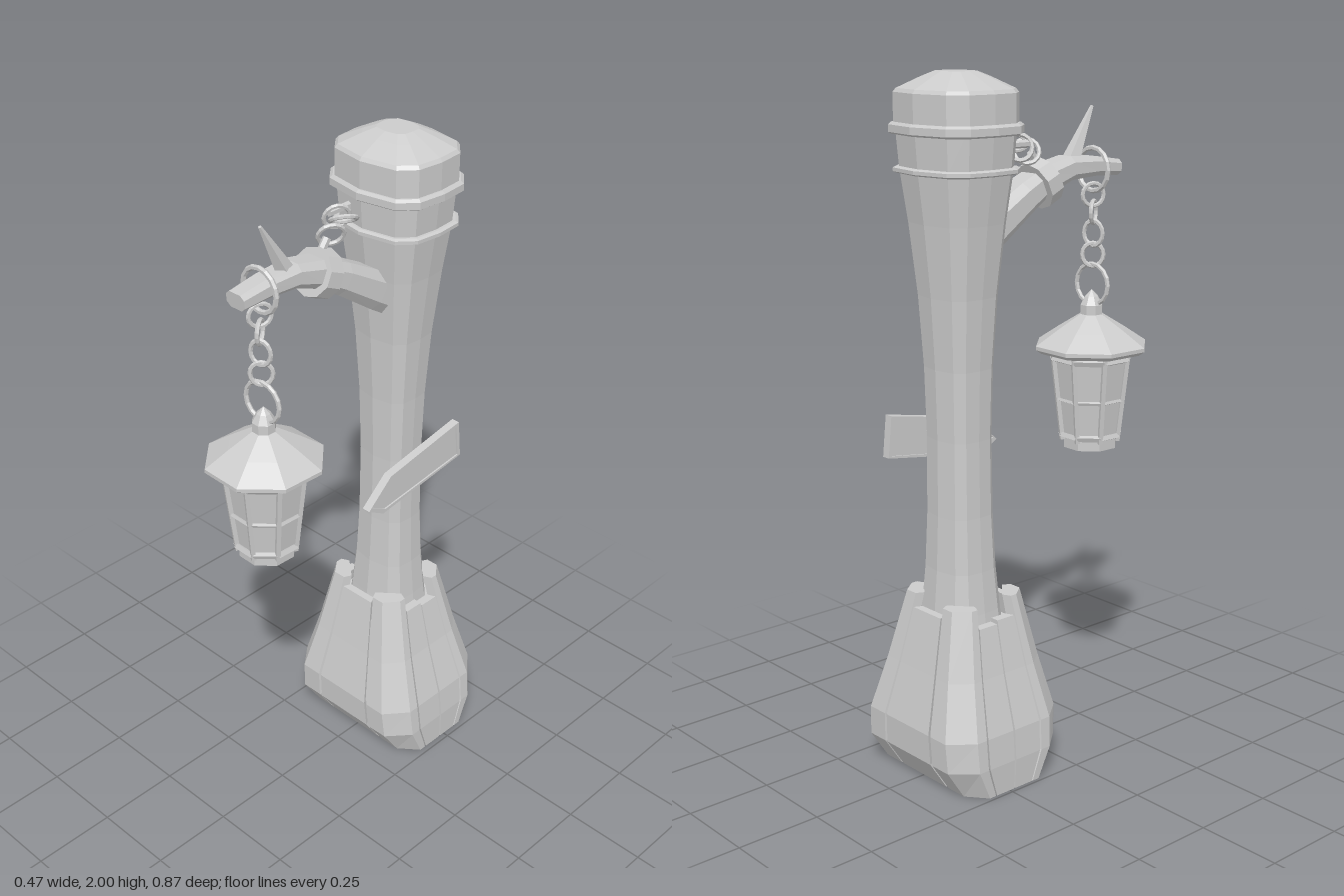
import * as THREE from 'three';

const material = new THREE.MeshStandardMaterial({ color: 0xcccccc, flatShading: true });
const V = (x, y, z) => new THREE.Vector3(x, y, z);
const CX = -0.015, CZ = -0.24; // post axis

function add(parent, name, geometry) {
  const mesh = new THREE.Mesh(geometry, material);
  mesh.name = name;
  parent.add(mesh);
  return mesh;
}

// Skin a list of convex rings (counter-clockwise about the travel direction) and cap both ends
function loft(rings) {
  const n = rings[0].length, index = [];
  for (let i = 0; i < rings.length - 1; i++) {
    for (let j = 0; j < n; j++) {
      const a = i * n + j, b = i * n + (j + 1) % n;
      index.push(a, b, b + n, a, b + n, a + n);
    }
  }
  const top = (rings.length - 1) * n;
  for (let j = 1; j < n - 1; j++) index.push(0, j + 1, j, top, top + j, top + j + 1);
  const g = new THREE.BufferGeometry().setFromPoints(rings.flat());
  g.setIndex(index);
  const flat = g.toNonIndexed();
  flat.computeVertexNormals();
  return flat;
}

// Four-fold section from one quadrant's points
const mirrorSection = (q) => [
  ...q,
  ...q.slice().reverse().map(([a, b]) => [-a, b]),
  ...q.map(([a, b]) => [-a, -b]),
  ...q.slice().reverse().map(([a, b]) => [a, -b]),
].filter(([a, b], i, s) => i === 0 || Math.hypot(a - s[i - 1][0], b - s[i - 1][1]) > 1e-6)
  .filter(([a, b], i, s) => i < s.length - 1 || Math.hypot(a - s[0][0], b - s[0][1]) > 1e-6);

const POST = mirrorSection([[1, 0], [0.95, 0.55], [0.7, 0.86], [0, 1]]);
const BASE = mirrorSection([[1, 0.66], [0.75, 1]]);

const levelRing = (section, y, hx, hz, cx = CX, cz = CZ) =>
  section.map(([a, b]) => V(cx + a * hx, y, cz - b * hz));
const postLoft = (levels) => loft(levels.map(([y, h]) => levelRing(POST, y, h, h * 0.91)));

// Straight tapered rod between two points
function rod(parent, name, a, b, ra, rb = ra, sides = 6) {
  const m = add(parent, name, new THREE.CylinderGeometry(rb, ra, a.distanceTo(b), sides));
  m.position.copy(a).lerp(b, 0.5);
  m.quaternion.setFromUnitVectors(V(0, 1, 0), b.clone().sub(a).normalize());
  return m;
}

function link(parent, name, [x, y, z], r, rotX, rotY, stretch = 1, tube = 0.0065) {
  const m = add(parent, name, new THREE.TorusGeometry(r, tube, 6, 16));
  m.position.set(x, y, z);
  m.rotation.set(rotX, rotY, 0);
  m.scale.y = stretch;
  return m;
}

// Half-widths of the flared base by height
const FLARE = [[0, 0.235, 0.14], [0.09, 0.237, 0.2], [0.18, 0.229, 0.205], [0.34, 0.183, 0.168], [0.55, 0.134, 0.124]];
function flareAt(y) {
  const i = Math.max(1, FLARE.findIndex((f) => f[0] >= y));
  const [a, b] = [FLARE[i - 1], FLARE[i]];
  const t = (y - a[0]) / (b[0] - a[0]);
  return [y, a[1] + (b[1] - a[1]) * t, a[2] + (b[2] - a[2]) * t];
}
const flareRing = (section, [y, hx, hz], k = 1) =>
  levelRing(section, y, hx * k, hz * k, -0.003 - 0.026 * y, -0.232);

function buildPost(root) {
  const post = new THREE.Group();
  post.name = 'post';
  root.add(post);
  add(post, 'column', postLoft([[0.3, 0.13], [0.5, 0.106], [0.62, 0.095], [0.78, 0.088], [1.0, 0.086],
    [1.2, 0.091], [1.4, 0.104], [1.6, 0.126], [1.74, 0.146], [1.86, 0.156]]));
  add(post, 'upperBand', postLoft([[1.835, 0.165], [1.84, 0.173], [1.86, 0.173], [1.867, 0.165]]));
  add(post, 'lowerBand', postLoft([[1.732, 0.155], [1.736, 0.163], [1.746, 0.163], [1.75, 0.155]]));
  add(post, 'cap', postLoft([[1.85, 0.16], [1.945, 0.16], [1.955, 0.152], [1.985, 0.09], [2.0, 0.054]]));

  // Base core, seen in the gaps between planks
  add(post, 'baseCore', loft([...FLARE.slice(0, 4), flareAt(0.45)].map((f, i) => {
    const ring = flareRing(BASE, f, 0.94);
    if (i === 0) ring.forEach((p) => { p.y = 0.006; });
    return ring;
  })));

  // Planks: outer edge points of each, in outline coordinates, with their top heights
  const planks = [[[[0.42, -1], [-0.42, -1]].reverse(), 0.515], [[[0.42, 1], [-0.42, 1]], 0.505]];
  for (const s of [1, -1]) {
    for (const t of [1, -1]) {
      const corner = [[1, 0.5], [1, 0.66], [0.75, 1], [0.46, 1]].map(([a, b]) => [a * s, b * t]);
      const side = [[1, 0.015], [1, 0.47]].map(([a, b]) => [a * s, b * t]);
      planks.push([s * t > 0 ? corner : corner.reverse(), s * t > 0 ? 0.545 : 0.535]);
      planks.push([s * t > 0 ? side : side.reverse(), t > 0 ? 0.48 : 0.49]);
    }
  }
  for (const [outer, top] of planks) {
    const inner = [outer[outer.length - 1], outer[0]].map(([a, b]) => [a * 0.82, b * 0.82]);
    const levels = [...FLARE.slice(0, 4), flareAt(top)];
    add(post, 'basePlank', loft(levels.map((f) => flareRing([...outer, ...inner], f))));
  }
}

function buildArm(root) {
  const arm = new THREE.Group();
  arm.name = 'arm';
  root.add(arm);
  // Bent branch: z, y, half width, half thickness
  const path = [[-0.24, 1.505, 0.06, 0.06], [-0.13, 1.57, 0.058, 0.055], [0.0, 1.65, 0.052, 0.046],
    [0.08, 1.692, 0.047, 0.04], [0.17, 1.717, 0.042, 0.034], [0.27, 1.716, 0.037, 0.028], [0.362, 1.707, 0.034, 0.023]];
  const section = mirrorSection([[1, 0.5], [0.6, 1]]);
  add(arm, 'branch', loft(path.map(([z, y, w, h], i) => {
    const a = path[Math.max(0, i - 1)], b = path[Math.min(path.length - 1, i + 1)];
    const t = V(0, b[1] - a[1], b[0] - a[0]).normalize();
    return section.map(([u, v]) => V(-0.008 + u * w, y + v * h * t.z, z - v * h * t.y));
  })));
  rod(arm, 'twig', V(-0.005, 1.72, 0.185), V(-0.002, 1.885, 0.277), 0.03, 0.005, 5);

  // Strap round the branch
  const strap = rod(arm, 'strap', V(-0.01, 1.672, 0.045), V(-0.01, 1.692, 0.09), 0.072, 0.07, 10);
  strap.scale.z = 0.98;

  // Slack chain from the post to the strap
  rod(arm, 'chainStaple', V(-0.07, 1.8, -0.12), V(-0.07, 1.8, -0.035), 0.011);
  link(arm, 'tieLink', [-0.055, 1.79, -0.05], 0.036, 0.5, 1.0);
  link(arm, 'tieLink', [-0.015, 1.8, -0.035], 0.036, 1.2, 0.5);
  link(arm, 'tieLink', [-0.012, 1.773, 0.015], 0.036, 0.7, 0.9);
  rod(arm, 'strapEye', V(-0.012, 1.77, 0.03), V(-0.012, 1.735, 0.055), 0.012);
}

function buildChain(root) {
  const chain = new THREE.Group();
  chain.name = 'lanternChain';
  root.add(chain);
  link(chain, 'armRing', [-0.012, 1.705, 0.274], 0.062, 0, 0, 1, 0.008);
  link(chain, 'chainLink', [-0.014, 1.632, 0.274], 0.033, 0, 1.2);
  link(chain, 'chainLink', [-0.016, 1.582, 0.274], 0.033, 0, -1.0);
  link(chain, 'chainLink', [-0.016, 1.52, 0.274], 0.03, 0, 0.35, 1.2);
  link(chain, 'chainLink', [-0.016, 1.457, 0.273], 0.031, 0, 0.75, 1.1);
  link(chain, 'lanternRing', [-0.016, 1.37, 0.272], 0.06, 0, 0.08, 1, 0.007);
}

function buildLantern(root) {
  const lantern = new THREE.Group();
  lantern.name = 'lantern';
  lantern.position.set(-0.016, 0, 0.27);
  lantern.rotation.y = 0.36;
  root.add(lantern);
  // Eight-sided lathe parts
  const turned = (name, pts) => add(lantern, name,
    new THREE.LatheGeometry(pts.map(([r, y]) => new THREE.Vector2(r, y)), 8));
  turned('roof', [[0, 1.17], [0.155, 1.17], [0.172, 1.182], [0.172, 1.193], [0.105, 1.238], [0.03, 1.285], [0, 1.287]]);
  turned('finial', [[0.034, 1.27], [0.034, 1.31], [0.02, 1.335], [0, 1.355]]);
  turned('glass', [[0, 0.91], [0.085, 0.91], [0.116, 1.175]]);
  turned('foot', [[0, 0.88], [0.083, 0.88], [0.083, 0.92], [0, 0.92]]);

  // Glazing bars and hoops
  const radius = (y) => 0.089 + (y - 0.91) * 0.117;
  const corner = (i, y, r = radius(y)) => V(Math.sin(i * Math.PI / 4) * r, y, Math.cos(i * Math.PI / 4) * r);
  for (let i = 0; i < 8; i++) {
    rod(lantern, 'uprightBar', corner(i, 0.905), corner(i, 1.175), 0.009, 0.009, 4);
    for (const [y, r] of [[0.92, 0.01], [1.03, 0.006], [1.155, 0.011]]) {
      rod(lantern, 'crossBar', corner(i, y), corner(i + 1, y), r, r, 4);
    }
  }
}

function buildSign(root) {
  const sign = new THREE.Group();
  sign.name = 'sign';
  sign.position.set(0.098, 0, 0);
  root.add(sign);
  // Arrow outline as (-z, y)
  const pts = [[0.015, 0.93], [0.075, 0.895], [0.412, 0.945], [0.4, 1.065], [0.105, 1.01]].map((p) => new THREE.Vector2(...p));
  const mid = new THREE.Vector2(0.23, 0.975);
  const inner = pts.map((p) => new THREE.Vector2(mid.x + (p.x - mid.x) * 0.94, mid.y + (p.y - mid.y) * 0.85));
  const slab = (name, shape, depth) => {
    const g = new THREE.ExtrudeGeometry(shape, { depth, bevelEnabled: false });
    g.translate(0, 0, -depth / 2);
    g.rotateY(Math.PI / 2);
    add(sign, name, g);
  };
  slab('signBoard', new THREE.Shape(inner), 0.016);
  const rim = new THREE.Shape(pts);
  rim.holes.push(new THREE.Path(inner));
  slab('signRim', rim, 0.026);
  add(sign, 'signBracket', new THREE.BoxGeometry(0.05, 0.05, 0.07)).position.set(-0.03, 0.975, CZ);
}

export function createModel() {
  const root = new THREE.Group();
  root.name = 'lanternPost';
  buildPost(root);
  buildArm(root);
  buildChain(root);
  buildLantern(root);
  buildSign(root);
  return root;
}
